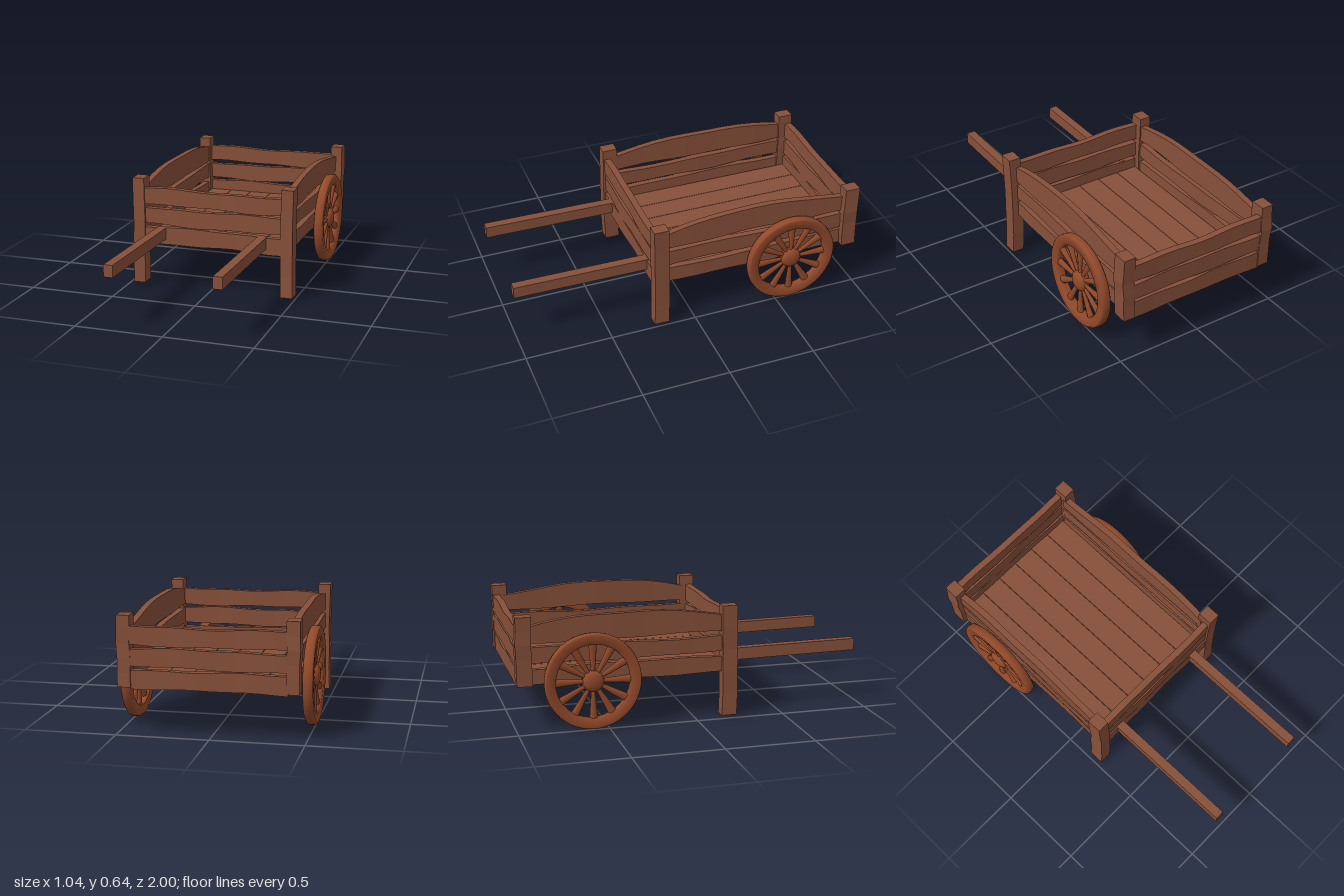
import * as THREE from 'three';

const wood = new THREE.MeshStandardMaterial({ color: 0x87503a, flatShading: true });
const wheelWood = new THREE.MeshStandardMaterial({ color: 0x91492a });

// Uneven hewn edge: gentle waves that differ per seed, u runs -1..1
const wave = (u, seed) => 0.004 * Math.sin(u * 3.1 + seed * 2.3) + 0.003 * Math.sin(u * 6.7 + seed * 4.1);

// Board along x with wavy top and bottom edges and an optional arched top
function board(name, length, y0, y1, thickness, seed, arch = 0) {
  const g = new THREE.BoxGeometry(length, 1, thickness, 12, 1, 1);
  const p = g.attributes.position;
  for (let i = 0; i < p.count; i++) {
    const u = (2 * p.getX(i)) / length;
    const top = p.getY(i) > 0;
    p.setY(i, top ? y1 - 0.003 + wave(u, seed) + arch * (1 - u * u) : y0 + 0.003 + wave(u, seed + 5));
    p.setZ(i, p.getZ(i) + 0.5 * wave(u, seed + 9));
  }
  g.computeVertexNormals();
  const m = new THREE.Mesh(g, wood);
  m.name = name;
  return m;
}

// Square post, slightly crooked
function post(name, x, z, y0, y1, seed) {
  const g = new THREE.BoxGeometry(0.07, y1 - y0, 0.086, 1, 5, 1);
  const p = g.attributes.position;
  for (let i = 0; i < p.count; i++) {
    const v = (2 * p.getY(i)) / (y1 - y0);
    p.setX(i, p.getX(i) + 0.6 * wave(v, seed));
    p.setZ(i, p.getZ(i) + 0.6 * wave(v, seed + 3));
  }
  g.computeVertexNormals();
  const m = new THREE.Mesh(g, wood);
  m.name = name;
  m.position.set(x, (y0 + y1) / 2, z);
  return m;
}

// Spoked wheel around the local y axis, outer side at +y
function wheel(name) {
  const group = new THREE.Group();
  group.name = name;
  const add = (part, geometry) => {
    const m = new THREE.Mesh(geometry, wheelWood);
    m.name = part;
    group.add(m);
    return m;
  };
  const V = (x, y) => new THREE.Vector2(x, y);

  // Rim with rounded corners
  const rim = [V(0.208, -0.024), V(0.255, -0.028), V(0.265, -0.02), V(0.268, 0),
    V(0.265, 0.02), V(0.255, 0.028), V(0.208, 0.024), V(0.204, 0), V(0.208, -0.024)];
  add('rim', new THREE.LatheGeometry(rim, 48));

  // Domed hub
  const hub = [V(0, -0.036), V(0.045, -0.034), V(0.058, -0.02), V(0.06, 0),
    V(0.056, 0.016), V(0.04, 0.027), V(0.02, 0.032), V(0, 0.033)];
  add('hub', new THREE.LatheGeometry(hub, 24));

  // Spokes flare towards the rim
  const spokeShape = new THREE.CylinderGeometry(0.024, 0.011, 0.17, 8);
  spokeShape.scale(1, 1, 0.7);
  spokeShape.translate(0, 0.13, 0);
  spokeShape.rotateX(Math.PI / 2);
  const count = 12;
  for (let i = 0; i < count; i++) {
    add('spoke', spokeShape).rotation.y = (i / count) * Math.PI * 2;
  }
  return group;
}

export function createModel() {
  const cart = new THREE.Group();
  cart.name = 'handCart';
  const rows = [[0.252, 0.357], [0.367, 0.47], [0.482, 0.584]];

  // Front and back walls
  for (const [name, z, seed] of [['frontBoard', 0.21, 1], ['backBoard', -0.975, 4]]) {
    rows.forEach(([y0, y1], i) => {
      const b = board(name, 0.83, y0, y1, 0.038, seed + i * 1.7);
      b.position.set(0.005, 0, z);
      cart.add(b);
    });
  }

  // Side walls with an arched top board
  for (const s of [-1, 1]) {
    rows.forEach(([y0, y1], i) => {
      const arch = i === 2 ? 0.057 : 0;
      const b = board(s > 0 ? 'leftBoard' : 'rightBoard', 1.12, y0 + 0.005, y1 - 0.004, 0.036, 7 + s + i * 2.1, arch);
      b.rotation.y = Math.PI / 2;
      b.position.set(s * 0.428 + 0.002, 0, -0.38);
      cart.add(b);
    });
  }

  // Corner posts: the front pair reach down as legs
  for (const [side, x, seed] of [['left', 0.451, 2], ['right', -0.436, 6]]) {
    cart.add(post(side + 'FrontLeg', x, 0.195, 0.01, 0.638, seed));
    cart.add(post(side + 'BackPost', x, -0.956, 0.26, 0.64, seed + 1));
  }

  // Floor boards
  for (let i = 0; i < 6; i++) {
    const m = new THREE.Mesh(new THREE.BoxGeometry(0.132, 0.03, 1.15), wood);
    m.name = 'floorBoard';
    m.position.set(-0.333 + i * 0.135, 0.275, -0.382);
    cart.add(m);
  }

  // Pulling shafts, rising slightly to the front
  for (const s of [-1, 1]) {
    const m = new THREE.Mesh(new THREE.BoxGeometry(0.052, 0.068, 0.8), wood);
    m.name = s > 0 ? 'leftShaft' : 'rightShaft';
    m.position.set(s * 0.302 + 0.003, 0.324, 0.6);
    m.rotation.x = -0.012;
    cart.add(m);
  }

  // Wheels
  for (const s of [-1, 1]) {
    const w = wheel(s > 0 ? 'leftWheel' : 'rightWheel');
    w.rotation.z = -s * Math.PI / 2;
    w.position.set(s * 0.488, s > 0 ? 0.268 : 0.271, -0.587);
    cart.add(w);
  }
  return cart;
}
